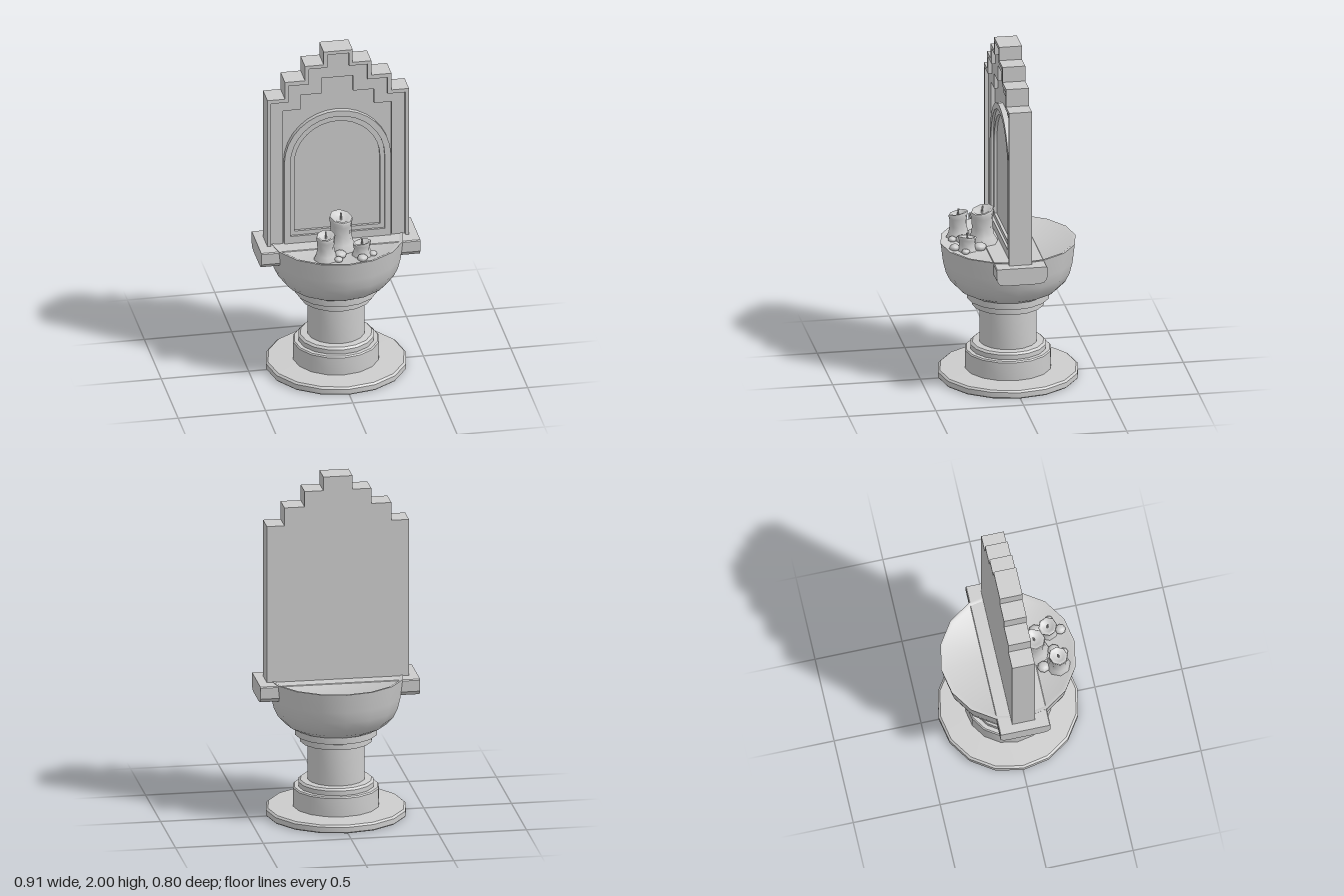
import * as THREE from 'three';
import { toCreasedNormals } from 'three/addons/utils/BufferGeometryUtils.js';

const stone = new THREE.MeshStandardMaterial({ color: 0xcccccc });
stone.name = 'grey stone';

function add(parent, name, geometry) {
  const mesh = new THREE.Mesh(geometry, stone);
  mesh.name = name;
  parent.add(mesh);
  return mesh;
}

function lathe(profile, sides, crease) {
  const points = profile.map(([r, y]) => new THREE.Vector2(r, y));
  return toCreasedNormals(new THREE.LatheGeometry(points, sides), crease);
}

// Plate cut from an xy shape, between two depths
function plate(shape, z0, z1) {
  const g = new THREE.ExtrudeGeometry(shape, { depth: z1 - z0, bevelEnabled: false, curveSegments: 8 });
  return g.translate(0, 0, z0);
}

// Mirrored stair outline: steps are [half width, top], widest first
function stairs(steps, bottom) {
  const right = [[steps[0][0], bottom]];
  steps.forEach(([x, y], i) => {
    right.push([x, y]);
    if (steps[i + 1]) right.push([steps[i + 1][0], y]);
  });
  const left = right.map(([x, y]) => [-x, y]).reverse();
  return [...right, ...left].map(([x, y]) => new THREE.Vector2(x, y));
}

function arch(PathType, r, bottom, spring) {
  const p = new PathType();
  p.moveTo(-r, bottom);
  p.lineTo(r, bottom);
  p.lineTo(r, spring);
  p.absarc(0, spring, r, 0, Math.PI, false);
  p.lineTo(-r, bottom);
  return p;
}

// Melted candle with a dished, slanted top and a wick
function candle(parent, name, { x, z, r, foot, top, slantX, slantZ }) {
  const group = new THREE.Group();
  group.name = name;
  const y0 = 0.795, h = top - y0;
  const g = new THREE.LatheGeometry([
    [foot, 0], [foot * 0.97, h * 0.1], [r * 1.08, h * 0.24], [r * 0.92, h * 0.5],
    [r * 0.97, h * 0.8], [r * 1.06, h * 0.95], [r, h], [r * 0.8, h], [r * 0.55, h - 0.014], [0, h - 0.018],
  ].map(([a, b]) => new THREE.Vector2(a, b)), 8);
  const p = g.attributes.position;
  for (let i = 0; i < p.count; i++) {
    const t = Math.max(0, p.getY(i) / h - 0.5) * 2;
    p.setY(i, p.getY(i) + t * (p.getX(i) * slantX + p.getZ(i) * slantZ));
  }
  add(group, 'wax', toCreasedNormals(g, 0.95));
  const wick = add(group, 'wick', new THREE.CylinderGeometry(0.005, 0.006, 0.045, 5));
  wick.position.y = h;
  wick.rotation.x = slantZ * 0.6;
  group.position.set(x, y0, z);
  parent.add(group);
}

export function createModel() {
  const model = new THREE.Group();
  model.name = 'shrine font';

  // Round foot, column and collars
  add(model, 'pedestal', lathe([
    [0, 0], [0.395, 0], [0.4, 0.006], [0.4, 0.036], [0.388, 0.046], [0.245, 0.05],
    [0.245, 0.157], [0.238, 0.164], [0.215, 0.165], [0.215, 0.192], [0.202, 0.203], [0.163, 0.206],
    [0.163, 0.43], [0.205, 0.43], [0.205, 0.462], [0.197, 0.47], [0.235, 0.472], [0.235, 0.52],
  ], 16, 0.6));

  // Bowl with a thin rim around a shallow top
  add(model, 'bowl', lathe([
    [0.2, 0.505], [0.235, 0.51], [0.29, 0.54], [0.33, 0.583], [0.355, 0.635], [0.371, 0.7],
    [0.383, 0.8], [0.385, 0.81], [0.372, 0.81], [0.358, 0.802], [0, 0.802],
  ], 16, 0.6));

  // Cross slab with chamfered lower edges forming the two side arms
  const section = new THREE.Shape([
    [-0.145, 0.8], [-0.143, 0.735], [-0.125, 0.712], [-0.09, 0.706],
    [0.09, 0.706], [0.125, 0.712], [0.143, 0.735], [0.145, 0.8], [0.14, 0.806], [-0.14, 0.806],
  ].map(([z, y]) => new THREE.Vector2(z, y)));
  const arms = plate(section, -0.455, 0.455).rotateY(Math.PI / 2);
  add(model, 'sideArms', toCreasedNormals(arms, 0.5));

  // Stepped back panel with two sunken levels
  const back = new THREE.Group();
  back.name = 'backPanel';
  model.add(back);
  const bottom = 0.8;
  const outer = stairs([[0.405, 1.725], [0.305, 1.83], [0.19, 1.92], [0.083, 2]], bottom);
  const middle = stairs([[0.385, 1.703], [0.283, 1.805], [0.168, 1.9], [0.062, 1.98]], bottom);
  const inner = stairs([[0.31, 1.64], [0.21, 1.73], [0.09, 1.825]], bottom);
  const frame = (a, b) => new THREE.Shape([...a, ...[...b].reverse()]);
  add(back, 'slab', plate(new THREE.Shape(outer), -0.065, 0.02));
  add(back, 'middleFrame', plate(frame(outer, inner), 0.02, 0.042));
  add(back, 'outerRim', plate(frame(outer, middle), 0.042, 0.065));

  // Arched moulding in two steps
  const moulding = arch(THREE.Shape, 0.305, bottom, 1.31);
  moulding.holes.push(arch(THREE.Path, 0.27, 0.85, 1.31));
  add(back, 'archMoulding', toCreasedNormals(plate(moulding, 0.02, 0.05), 0.5));
  const lip = arch(THREE.Shape, 0.272, 0.848, 1.31);
  lip.holes.push(arch(THREE.Path, 0.245, 0.875, 1.3));
  add(back, 'archLip', toCreasedNormals(plate(lip, 0.02, 0.036), 0.5));

  // Candles
  const candles = new THREE.Group();
  candles.name = 'candles';
  model.add(candles);
  candle(candles, 'tallCandle', { x: 0, z: 0.147, r: 0.064, foot: 0.09, top: 0.998, slantX: -0.1, slantZ: -0.22 });
  candle(candles, 'mediumCandle', { x: -0.11, z: 0.265, r: 0.052, foot: 0.07, top: 0.947, slantX: 0.1, slantZ: -0.2 });
  candle(candles, 'shortCandle', { x: 0.1, z: 0.25, r: 0.05, foot: 0.06, top: 0.88, slantX: 0.15, slantZ: 0.1 });

  // Drips of wax around the candles: x, z, radius
  for (const [x, z, r] of [
    [-0.11, 0.18, 0.035], [-0.025, 0.258, 0.036], [-0.045, 0.31, 0.025],
    [0.11, 0.18, 0.038], [0.09, 0.32, 0.031], [0.16, 0.27, 0.024],
  ]) {
    const drip = add(candles, 'waxDrip', new THREE.SphereGeometry(r, 8, 6));
    drip.scale.y = 0.65;
    drip.position.set(x, 0.803 + r * 0.4, z);
  }
  return model;
}
